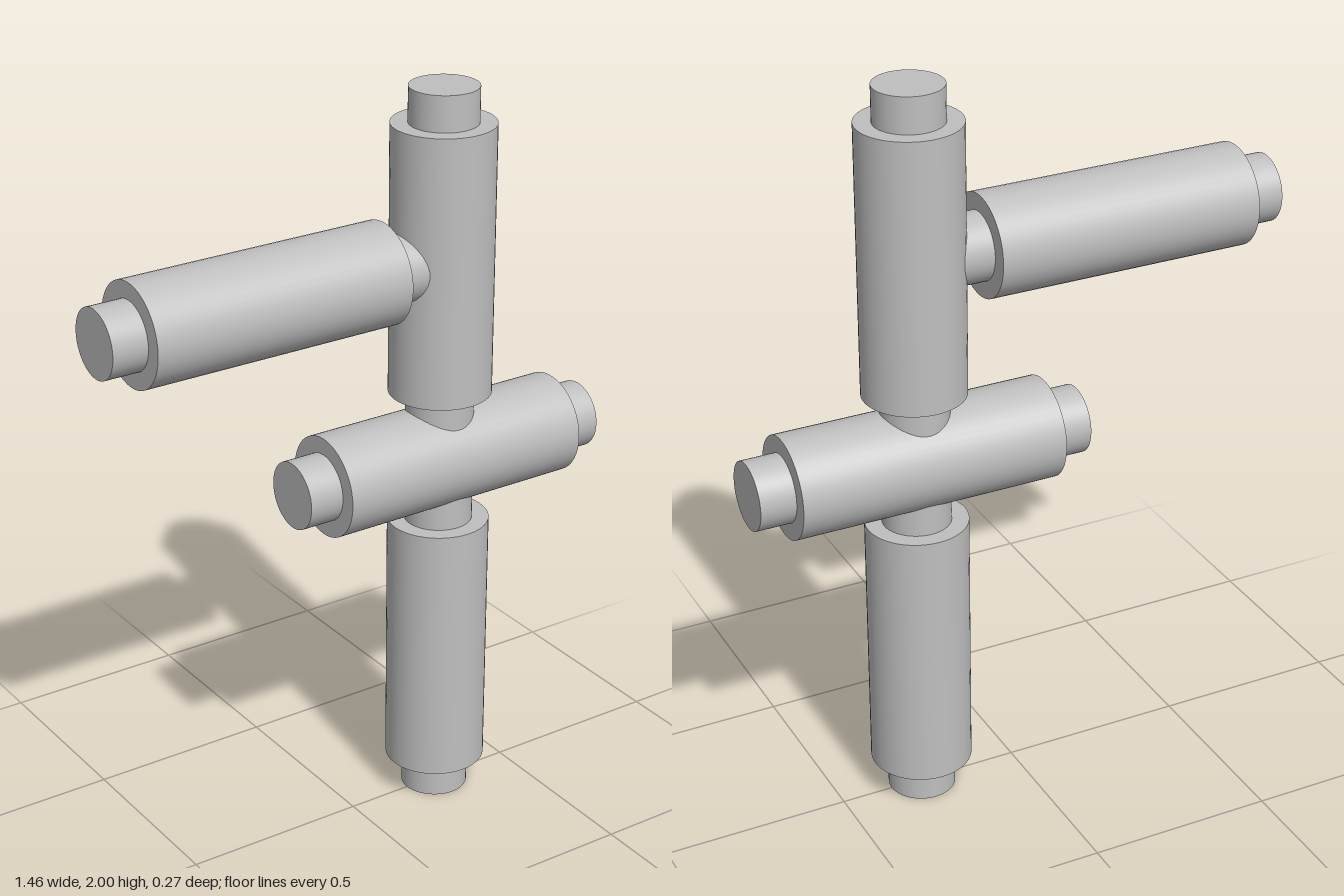
import * as THREE from 'three';

const ROD_LENGTH = 0.912, ROD_RADIUS = 0.09;
const SLEEVE_LENGTH = 0.723, SLEEVE_RADIUS = 0.135;

// One rod: a thin core running through a thicker sleeve, upright about its centre
function makeRod(name, material) {
  const rod = new THREE.Group();
  rod.name = name;
  const parts = [
    ['core', ROD_RADIUS, ROD_LENGTH],
    ['sleeve', SLEEVE_RADIUS, SLEEVE_LENGTH],
  ];
  for (const [part, radius, length] of parts) {
    const mesh = new THREE.Mesh(new THREE.CylinderGeometry(radius, radius, length, 48), material);
    mesh.name = part;
    rod.add(mesh);
  }
  return rod;
}

export function createModel() {
  const model = new THREE.Group();
  model.name = 'rodAssembly';
  const grey = new THREE.MeshStandardMaterial({ color: 0xbfbfbf });
  grey.name = 'grey';

  // name, centre x, centre y, lies along x
  const rods = [
    ['lowerPost', 0.27, 0.456, false],
    ['upperPost', 0.27, 1.544, false],
    ['crossBar', 0.27, 1.0, true],
    ['sideArm', -0.274, 1.546, true],
  ];
  for (const [name, x, y, flat] of rods) {
    const rod = makeRod(name, grey);
    rod.position.set(x, y, 0);
    if (flat) rod.rotation.z = Math.PI / 2;
    model.add(rod);
  }
  return model;
}
